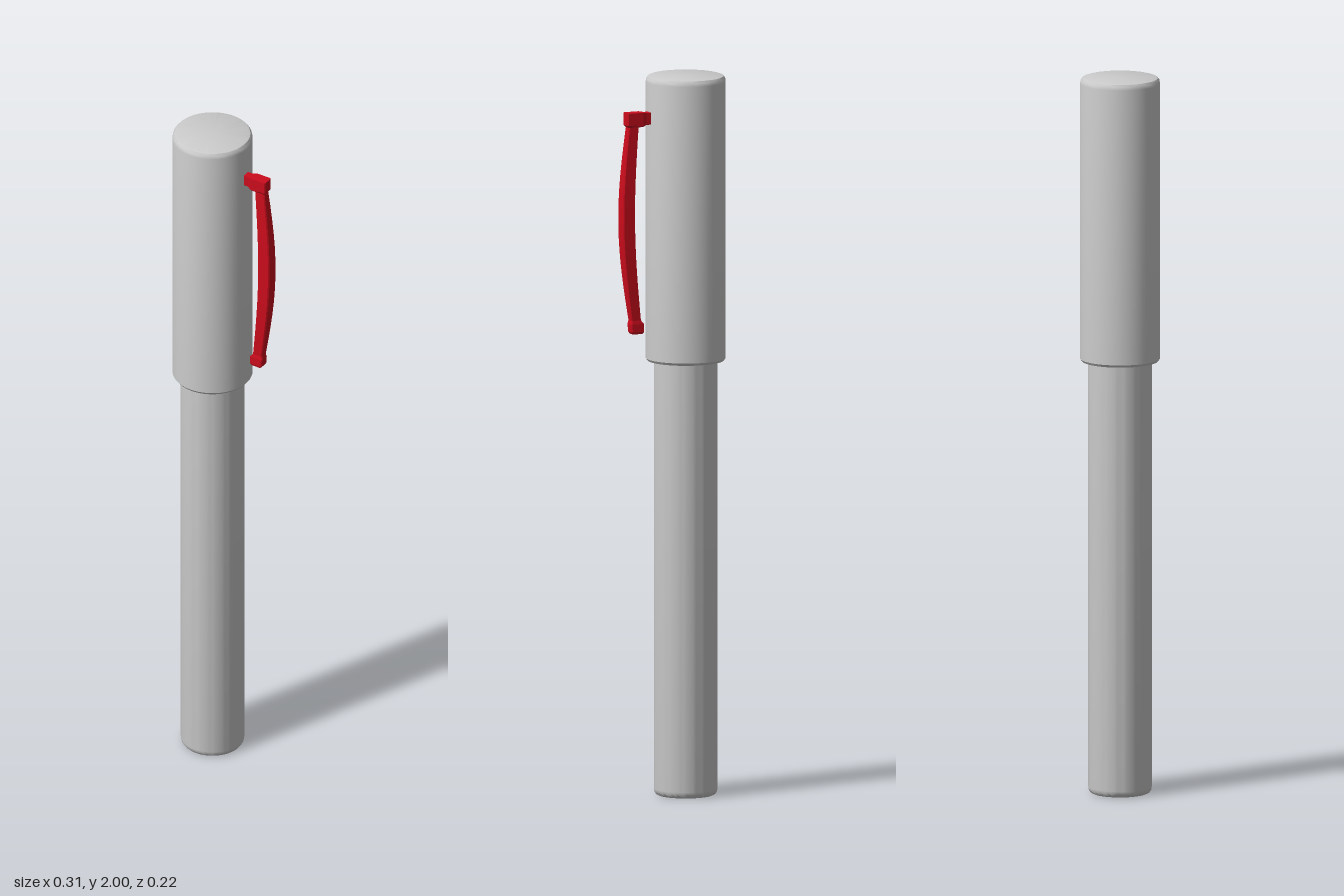
import * as THREE from 'three';
import { toCreasedNormals } from 'three/addons/utils/BufferGeometryUtils.js';

const grey = new THREE.MeshStandardMaterial({ color: 0xcccccc });
const red = new THREE.MeshStandardMaterial({ color: 0xcc0c1c });
const AXIS_X = -0.045;

// Turned part from [radius, y] points, creased at sharp edges
function turned(name, points) {
  const lathe = new THREE.LatheGeometry(points.map(p => new THREE.Vector2(...p)), 64);
  const mesh = new THREE.Mesh(toCreasedNormals(lathe, 0.6), grey);
  mesh.name = name;
  mesh.position.x = AXIS_X;
  return mesh;
}

// Bar lofted up y from [y, inner x, outer x, half width] sections with bevelled outer corners
function bar(sections, bevel) {
  const rings = sections.map(([y, a, b, h]) => [
    [b, y, -h + bevel], [b - bevel, y, -h], [a, y, -h],
    [a, y, h], [b - bevel, y, h], [b, y, h - bevel],
  ]);
  const n = 6, pos = [];
  for (let s = 0; s < rings.length - 1; s++) {
    for (let i = 0; i < n; i++) {
      const j = (i + 1) % n, lo = rings[s], up = rings[s + 1];
      pos.push(...lo[i], ...lo[j], ...up[j], ...lo[i], ...up[j], ...up[i]);
    }
  }
  const first = rings[0], last = rings[rings.length - 1];
  for (let i = 1; i < n - 1; i++) {
    pos.push(...first[0], ...first[i + 1], ...first[i]);
    pos.push(...last[0], ...last[i], ...last[i + 1]);
  }
  const geo = new THREE.BufferGeometry();
  geo.setAttribute('position', new THREE.Float32BufferAttribute(pos, 3));
  geo.computeVertexNormals();
  return geo;
}

export function createModel() {
  const pen = new THREE.Group();
  pen.name = 'pen';

  // Barrel with softened lower rim
  pen.add(turned('barrel', [
    [0, 0], [0.076, 0], [0.082, 0.003], [0.086, 0.009], [0.0875, 0.018],
    [0.0875, 1.25], [0, 1.25],
  ]));

  // Cap with rounded top rim and small lower bevel
  pen.add(turned('cap', [
    [0.086, 1.207], [0.105, 1.207], [0.11, 1.214], [0.11, 1.982],
    [0.1085, 1.991], [0.104, 1.997], [0.098, 1.999], [0, 2],
  ]));

  const clip = new THREE.Group();
  clip.name = 'clip';
  pen.add(clip);

  // Bowed spring, widest at its middle, with a small foot at the bottom
  const sections = [
    [1.29, 0.091, 0.12, 0.012], [1.296, 0.087, 0.124, 0.014],
    [1.318, 0.087, 0.126, 0.014], [1.328, 0.096, 0.124, 0.012],
  ];
  for (let i = 1; i <= 12; i++) {
    const t = i / 12, bow = Math.sin(Math.PI * t);
    sections.push([
      1.328 + t * 0.537, 0.096 + 0.007 * t + 0.017 * bow,
      0.124 + 0.008 * t + 0.024 * bow, 0.012 + 0.006 * bow,
    ]);
  }
  sections.push([1.871, 0.103, 0.137, 0.016], [1.905, 0.103, 0.137, 0.016]);
  const spring = new THREE.Mesh(bar(sections, 0.003), red);
  spring.name = 'clipSpring';
  clip.add(spring);

  // Arm joining the spring to the cap, lofted then laid along x
  const armGeo = bar([
    [0.05, -1.903, -1.87, 0.01], [0.078, -1.903, -1.869, 0.011],
    [0.09, -1.905, -1.865, 0.016], [0.112, -1.905, -1.865, 0.016],
  ], 0.003);
  armGeo.rotateZ(-Math.PI / 2);
  const arm = new THREE.Mesh(armGeo, red);
  arm.name = 'clipArm';
  clip.add(arm);

  return pen;
}
